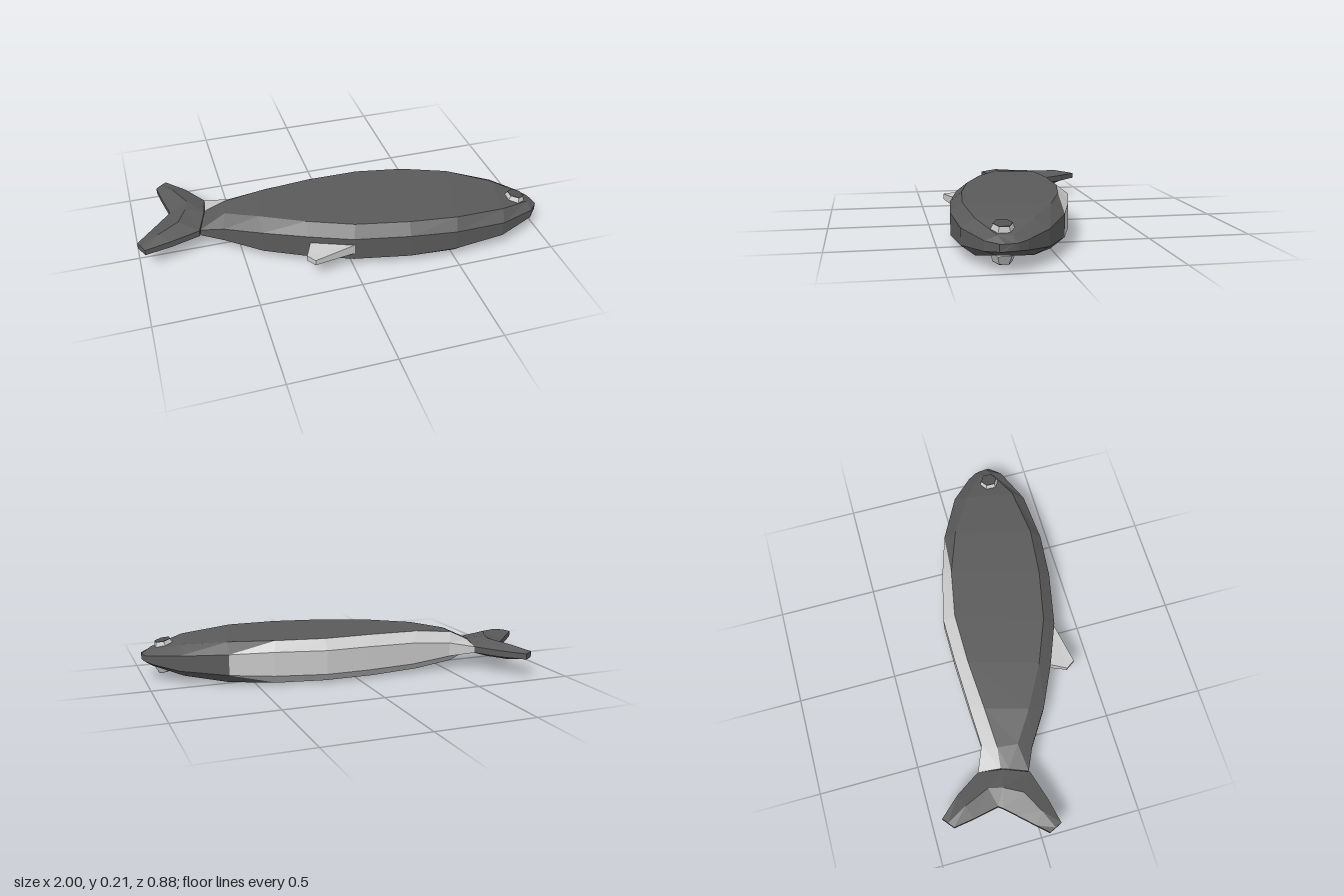
import * as THREE from 'three';

const MID = 0.108; // height of the mirror plane, the fish lies on its side

// Lofts closed loops of [x, y, z] into flat faces; pick(seg, side, half) names the colour set.
function loft(loops, flipDiagonal, pick) {
  const sets = {};
  const n = loops[0].length;
  const tri = (name, ...pts) => (sets[name] ??= []).push(...pts.flat());
  for (let s = 0; s < loops.length - 1; s++) {
    for (let i = 0; i < n; i++) {
      const j = (i + 1) % n;
      const a = loops[s][i], b = loops[s][j], c = loops[s + 1][j], d = loops[s + 1][i];
      if (flipDiagonal(i)) {
        tri(pick(s, i, 0), a, b, d);
        tri(pick(s, i, 1), b, c, d);
      } else {
        tri(pick(s, i, 0), a, b, c);
        tri(pick(s, i, 1), a, c, d);
      }
    }
  }
  const first = loops[0], last = loops[loops.length - 1];
  for (let i = 1; i < n - 1; i++) {
    tri(pick(0, -1, 0), first[0], first[i + 1], first[i]);
    tri(pick(loops.length - 2, -1, 0), last[0], last[i], last[i + 1]);
  }
  const out = {};
  for (const name in sets) {
    const g = new THREE.BufferGeometry();
    g.setAttribute('position', new THREE.Float32BufferAttribute(sets[name], 3));
    g.computeVertexNormals();
    out[name] = g;
  }
  return out;
}

export function createModel() {
  const group = new THREE.Group();
  const material = (name, color) => {
    const m = new THREE.MeshStandardMaterial({ color, flatShading: true });
    m.name = name;
    return m;
  };
  const mats = {
    dark: material('dark grey skin', 0x5a5a5a),
    light: material('pale grey', 0xcacaca),
    pupil: material('pupil grey', 0x525252),
  };
  const add = (name, geometry, mat, parent = group) => {
    const m = new THREE.Mesh(geometry, mat);
    m.name = name;
    parent.add(m);
    return m;
  };

  // Body stations, tail to nose: back rim, back crease, belly crease, belly rim (x, z),
  // then half thickness at the creases and at the rims
  const stations = [
    [-0.69, 0.02, -0.655, -0.07, -0.645, -0.11, -0.63, -0.22, 0.032, 0.016],
    [-0.58, 0.07, -0.56, 0.0, -0.55, -0.10, -0.51, -0.17, 0.078, 0.035],
    [-0.41, 0.18, -0.41, 0.10, -0.35, -0.11, -0.3, -0.178, 0.10, 0.055],
    [-0.2, 0.28, -0.2, 0.215, -0.1, -0.125, -0.05, -0.185, 0.107, 0.06],
    [0.0, 0.36, 0.02, 0.305, 0.16, -0.125, 0.17, -0.185, 0.107, 0.06],
    [0.27, 0.415, 0.28, 0.36, 0.4, -0.08, 0.42, -0.125, 0.107, 0.06],
    [0.5, 0.437, 0.52, 0.385, 0.62, 0.0, 0.63, -0.06, 0.102, 0.052],
    [0.76, 0.42, 0.78, 0.36, 0.82, 0.12, 0.85, 0.055, 0.08, 0.038],
    [0.95, 0.345, 0.95, 0.29, 0.955, 0.225, 0.96, 0.165, 0.042, 0.022],
    [1.0, 0.29, 1.0, 0.27, 0.995, 0.23, 0.99, 0.21, 0.016, 0.016],
  ];
  const bodyLoops = stations.map(([ox, oz, ix, iz, lx, lz, rx, rz, h, a]) => [
    [lx, MID + h, lz], [ix, MID + h, iz], [ox, MID + a, oz], [ox, MID - a, oz],
    [ix, MID - h, iz], [lx, MID - h, lz], [rx, MID - a, rz], [rx, MID + a, rz],
  ]);
  // The pale belly ends in a diagonal edge behind the head
  const body = loft(bodyLoops, (i) => i === 7 || i <= 1, (s, i, half) => {
    if (i < 5) return 'dark';
    return s < 5 || (s === 5 && (i === 6 || half === 0)) ? 'light' : 'dark';
  });
  add('body', body.dark, mats.dark);
  add('belly', body.light, mats.light);

  // Forked tail: front edge, rear edge (x, z), half thickness at front rim, ridge and rear rim
  const tailSections = [
    [-0.80, -0.445, -0.855, -0.40, 0.014, 0.016, 0.014],
    [-0.71, -0.345, -0.84, -0.30, 0.016, 0.04, 0.014],
    [-0.63, -0.22, -0.815, -0.17, 0.016, 0.048, 0.014],
    [-0.65, -0.10, -0.83, -0.15, 0.032, 0.05, 0.014],
    [-0.695, 0.025, -0.88, -0.095, 0.016, 0.048, 0.014],
    [-0.84, 0.07, -0.95, -0.02, 0.016, 0.038, 0.014],
    [-0.97, 0.10, -1.0, 0.035, 0.014, 0.016, 0.014],
  ];
  const tailLoops = tailSections.map(([fx, fz, rx, rz, f, m, r]) => {
    const mx = (fx + rx) / 2, mz = (fz + rz) / 2;
    return [
      [fx, MID + f, fz], [mx, MID + m, mz], [rx, MID + r, rz],
      [rx, MID - r, rz], [mx, MID - m, mz], [fx, MID - f, fz],
    ];
  });
  add('tail', loft(tailLoops, (i) => i < 2, () => 'dark').dark, mats.dark);

  // Small fin on the back edge, thinner toward its tip
  const finLoops = [
    [0.03, 0.355, -0.19, 0.265, 0.027],
    [-0.205, 0.405, -0.235, 0.36, 0.014],
  ].map(([fx, fz, rx, rz, h]) => [
    [fx, MID + h, fz], [rx, MID + h, rz], [rx, MID - h, rz], [fx, MID - h, fz],
  ]);
  add('fin', loft(finLoops, () => false, () => 'light').light, mats.light);

  // Six-sided eyes, one on each flank
  for (const side of [1, -1]) {
    const eye = new THREE.Group();
    eye.name = side > 0 ? 'upperEye' : 'lowerEye';
    eye.position.set(0.89, MID + side * 0.058, 0.26);
    eye.rotation.set(side > 0 ? 0 : Math.PI, 0, -side * 0.2);
    add('eyeRim', new THREE.CylinderGeometry(0.042, 0.058, 0.04, 6), mats.light, eye);
    const pupil = add('pupil', new THREE.CylinderGeometry(0.042, 0.042, 0.004, 6), mats.pupil, eye);
    pupil.position.y = 0.021;
    group.add(eye);
  }
  return group;
}
